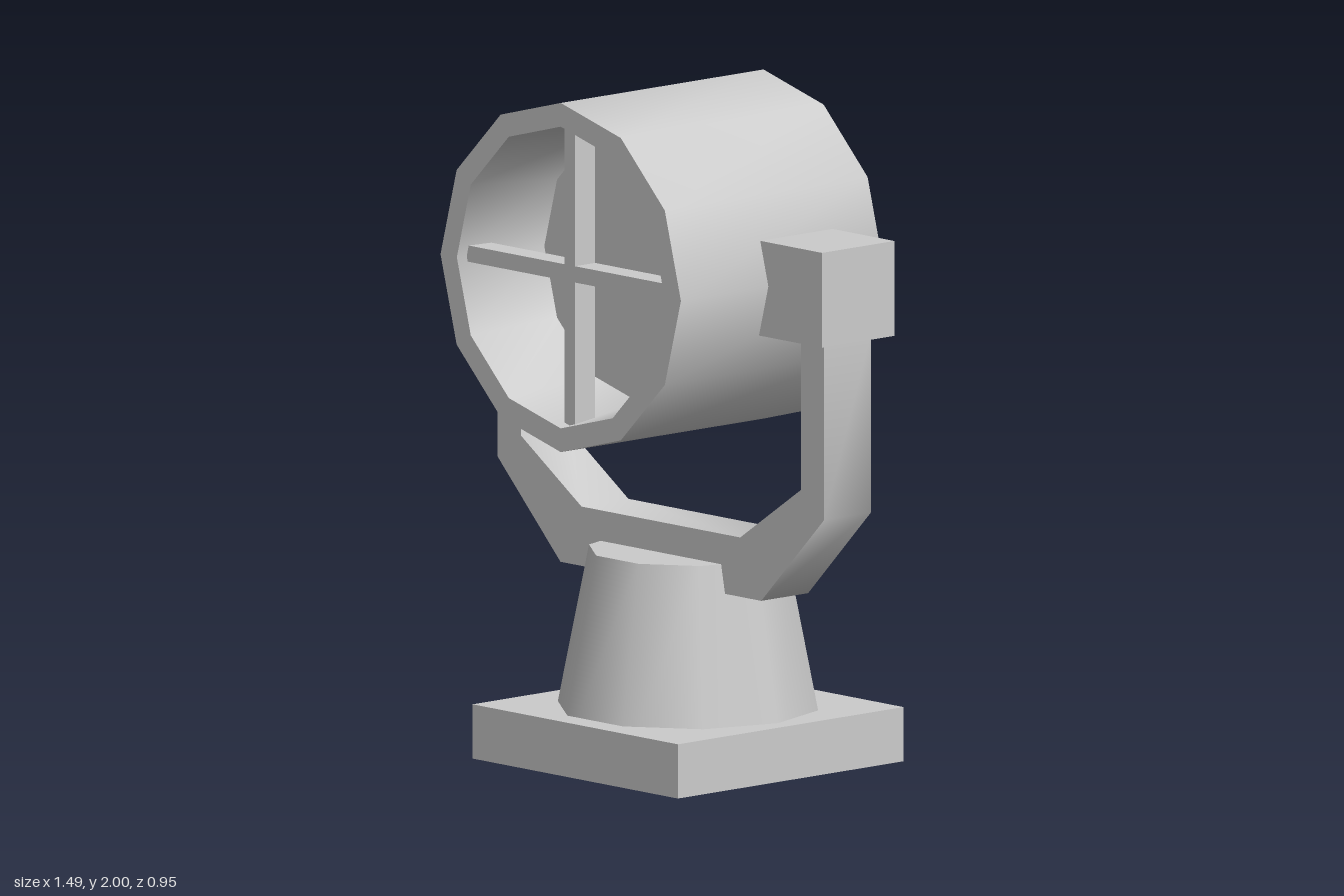
import * as THREE from 'three';
import { toCreasedNormals } from 'three/addons/utils/BufferGeometryUtils.js';

const CENTRE_Y = 1.485; // height of the lamp axis

export function createModel() {
  const model = new THREE.Group();
  const material = new THREE.MeshStandardMaterial({ color: 0xcccccc });
  const openMaterial = new THREE.MeshStandardMaterial({ color: 0xcccccc, side: THREE.DoubleSide });

  const add = (name, geometry, x = 0, y = 0, z = 0, mat = material) => {
    const mesh = new THREE.Mesh(geometry, mat);
    mesh.name = name;
    mesh.position.set(x, y, z);
    model.add(mesh);
    return mesh;
  };

  // Square base, hollow underneath: the box without its bottom face
  const base = new THREE.BoxGeometry(0.88, 0.16, 0.89);
  const index = Array.from(base.index.array);
  index.splice(18, 6);
  base.setIndex(index);
  base.clearGroups();
  add('base', base, 0, 0.08, -0.027, openMaterial);

  // Ten-sided tapered pedestal, open at the bottom, with a flat top
  const pedestalSide = new THREE.CylinderGeometry(0.293, 0.417, 0.625, 10, 1, true);
  pedestalSide.rotateY(Math.PI / 2);
  add('pedestal', pedestalSide, 0, 0.3125, -0.027, openMaterial);
  const pedestalTop = new THREE.CircleGeometry(0.293, 10);
  pedestalTop.rotateX(-Math.PI / 2);
  add('pedestalTop', pedestalTop, 0, 0.625, -0.027);

  // U-shaped yoke, mirrored about x = 0
  const half = [[0.43, 0.54], [0.7, 0.815], [0.7, 1.345], [0.6, 1.345], [0.6, 0.89], [0.34, 0.715]];
  const outline = [...half, ...half.map(([x, y]) => [-x, y]).reverse()];
  const yoke = new THREE.ExtrudeGeometry(
    new THREE.Shape(outline.map(([x, y]) => new THREE.Vector2(x, y))),
    { depth: 0.185, bevelEnabled: false }
  );
  add('yoke', toCreasedNormals(yoke, 1.0), 0, 0, -0.105);

  // Pivot blocks that join the yoke to the drum
  for (const side of [1, -1]) {
    add(side > 0 ? 'leftPivot' : 'rightPivot',
      new THREE.BoxGeometry(0.285, 0.28, 0.285), side * 0.6025, 1.475, -0.0125);
  }

  // Twelve-sided lamp drum with a tapered recess in the front
  const profile = [
    [0, -0.325], [0.515, -0.325], [0.515, 0.475],
    [0.445, 0.475], [0.407, 0.165], [0, 0.165]
  ].map(([r, z]) => new THREE.Vector2(r, z));
  const drum = new THREE.LatheGeometry(profile, 12);
  drum.rotateX(Math.PI / 2);
  add('drum', toCreasedNormals(drum, 0.6), 0, CENTRE_Y);

  // Crossed guard bars inside the rim
  add('verticalBar', new THREE.BoxGeometry(0.045, 0.885, 0.08), 0, CENTRE_Y, 0.4);
  add('horizontalBar', new THREE.BoxGeometry(0.885, 0.048, 0.08), 0, CENTRE_Y + 0.008, 0.4);

  return model;
}
